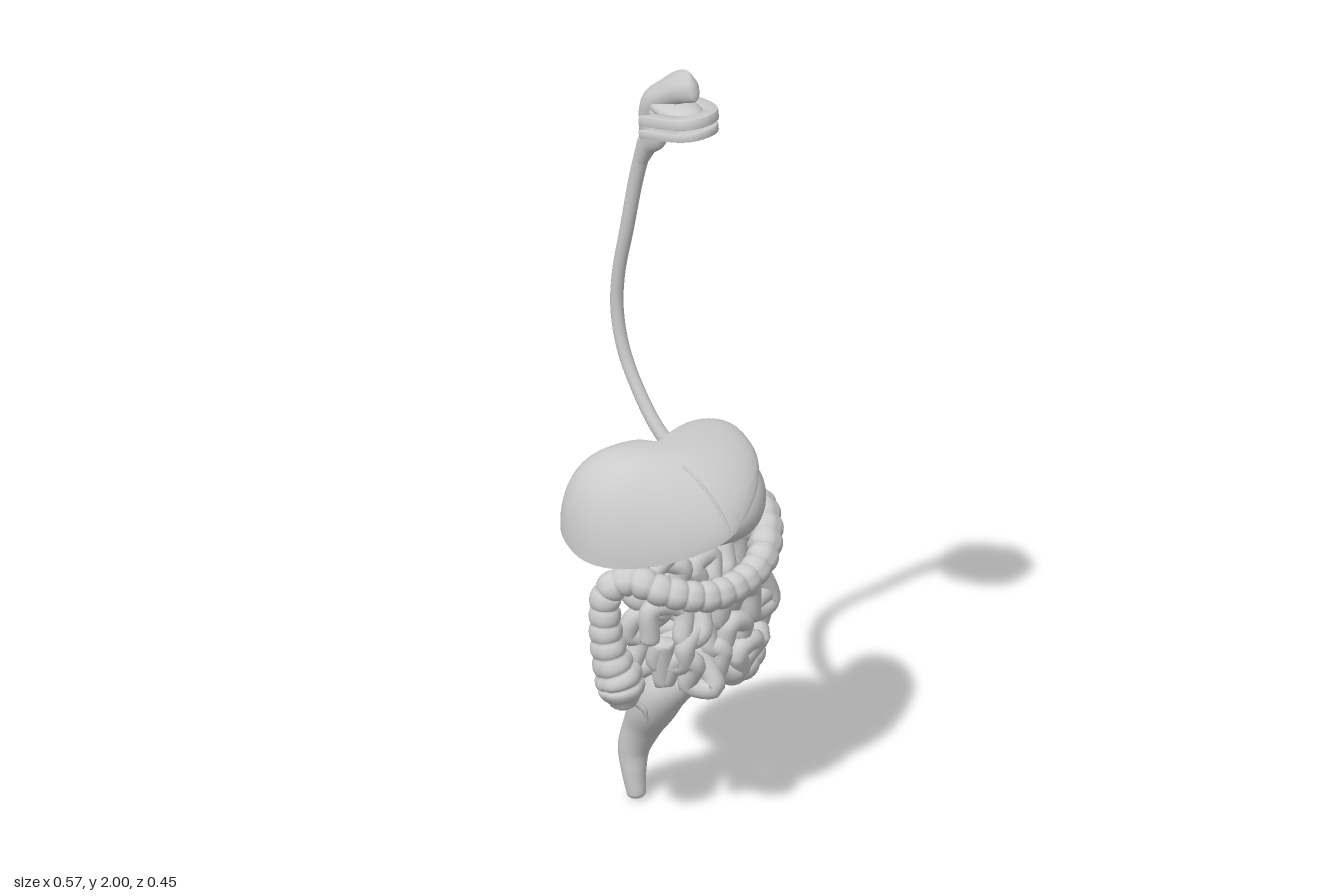
import * as THREE from 'three';
import { toCreasedNormals } from 'three/addons/utils/BufferGeometryUtils.js';

const V = (x, y, z) => new THREE.Vector3(x, y, z);
const material = new THREE.MeshStandardMaterial({ color: 0xcccccc, roughness: 0.7, side: THREE.DoubleSide });

// Joins closed rings of points into one skin
function loft(rows) {
  const n = rows[0].length, pos = [], index = [];
  rows.forEach(row => row.forEach(p => pos.push(p.x, p.y, p.z)));
  for (let i = 0; i < rows.length - 1; i++) {
    for (let j = 0; j < n; j++) {
      const a = i * n + j, b = i * n + (j + 1) % n;
      index.push(a, b, a + n, b, b + n, a + n);
    }
  }
  const geo = new THREE.BufferGeometry();
  geo.setAttribute('position', new THREE.Float32BufferAttribute(pos, 3));
  geo.setIndex(index);
  geo.computeVertexNormals();
  return geo;
}

// Round-ended tube through [x, y, z, radius, depth ratio] stations; mod(length, angle) shapes the wall
function organ(stations, steps, sides, mod = () => 1) {
  const curve = new THREE.CatmullRomCurve3(stations.map(s => V(s[0], s[1], s[2])));
  const size = new THREE.CatmullRomCurve3(stations.map(s => V(s[3], s[4] ?? 1, 0)), false, 'catmullrom');
  curve.arcLengthDivisions = steps * 2;
  const frames = curve.computeFrenetFrames(steps);
  const total = curve.getLength(), rows = [];
  const ring = (i, scale, push) => {
    const t = curve.getUtoTmapping(i / steps), c = curve.getPoint(t), s = size.getPoint(t);
    c.addScaledVector(frames.tangents[i], push * s.x);
    const row = [];
    for (let j = 0; j < sides; j++) {
      const a = j / sides * Math.PI * 2, r = s.x * scale * mod(i / steps * total, a);
      row.push(c.clone().addScaledVector(frames.normals[i], r * Math.cos(a))
        .addScaledVector(frames.binormals[i], r * s.y * Math.sin(a)));
    }
    rows.push(row);
  };
  const cap = [0, 0.25, 0.5, 0.75].map(k => k * Math.PI / 2);
  cap.forEach(a => ring(0, Math.sin(a), -0.6 * Math.cos(a)));
  for (let i = 0; i <= steps; i++) ring(i, 1, 0);
  cap.reverse().forEach(a => ring(steps, Math.sin(a), 0.6 * Math.cos(a)));
  return loft(rows);
}

// Liver: a dome over a curved rim, sloping gently to the front and hollowed underneath
const liverRim = new THREE.CatmullRomCurve3([
  [0.185, 0.97, -0.01], [0.16, 0.945, 0.1], [0.1, 0.912, 0.172], [0.03, 0.872, 0.213], [-0.04, 0.83, 0.225],
  [-0.13, 0.793, 0.183], [-0.22, 0.765, 0.1], [-0.272, 0.758, 0.02], [-0.28, 0.765, -0.06], [-0.255, 0.80, -0.14],
  [-0.2, 0.855, -0.165], [-0.12, 0.915, -0.142], [-0.06, 0.955, -0.1], [-0.02, 0.978, -0.03], [0.04, 0.98, -0.04],
  [0.11, 0.975, -0.07], [0.16, 0.975, -0.055],
].map(p => V(...p)), true);

function liverPoint(u, s, under) {
  const rim = liverRim.getPoint(u), top = under ? 0.945 : 1.008;
  const e = 2.5 - 0.7 * Math.max(0, rim.z / 0.22);
  const rise = under ? 1 - s * s : Math.pow(Math.max(0, 1 - s ** e), 1 / (e - 0.3));
  return V(-0.09 + (rim.x + 0.09) * s, rim.y + (top - rim.y) * rise, rim.z * s);
}

function liverGeometry() {
  const rows = [], n = 18, around = 72;
  for (let i = 0; i <= 2 * n; i++) {
    const k = i <= n ? i / n : 2 - i / n, s = Math.sin(k * Math.PI / 2);
    rows.push(Array.from({ length: around }, (_, j) => liverPoint(j / around, s, i > n)));
  }
  return toCreasedNormals(loft(rows), 1);
}

// Small bowel: two layers of meandering folds, bowed back at the sides
function smallBowelStations() {
  let seed = 11;
  const jitter = a => {
    seed = (seed * 16807) % 2147483647;
    return (seed / 2147483647 - 0.5) * 2 * a;
  };
  const out = [];
  for (let layer = 0; layer < 2; layer++) {
    for (let row = 0; row < 3; row++) {
      const level = layer ? 2 - row : row, side = (row + layer) % 2 ? -1 : 1;
      const y = layer ? 0.665 - level * 0.09 : 0.6 - level * 0.07;
      const half = (layer ? 0.18 : 0.165) - level * 0.012;
      for (let c = 0; c < 14; c++) {
        const x = side * half * (Math.floor(c / 2) / 3 - 1);
        const tall = Math.floor((c + 1) / 2) % 2 ? 1 : -1;
        out.push([x + jitter(0.018), y + tall * 0.034 + jitter(0.016),
          (layer ? 0.06 : 0.155) - x * x * 1.8 + jitter(0.026), 0.025]);
      }
    }
  }
  return out;
}

// Horseshoe jaw plate lying flat, open to the back
function jawGeometry(depth) {
  const s = new THREE.Shape();
  s.moveTo(-0.086, -0.035);
  s.bezierCurveTo(-0.075, 0.04, -0.07, 0.11, 0, 0.11);
  s.bezierCurveTo(0.07, 0.11, 0.075, 0.04, 0.086, -0.035);
  s.lineTo(0.05, 0);
  s.bezierCurveTo(0.045, 0.04, 0.04, 0.078, 0, 0.078);
  s.bezierCurveTo(-0.04, 0.078, -0.045, 0.04, -0.05, 0);
  s.closePath();
  const geo = new THREE.ExtrudeGeometry(s, { depth, bevelEnabled: true, bevelSize: 0.003, bevelThickness: 0.003, bevelSegments: 2, curveSegments: 20 });
  return toCreasedNormals(geo.rotateX(Math.PI / 2), 0.7);
}

export function createModel() {
  const model = new THREE.Group();
  const add = (name, geo, x = 0, y = 0, z = 0) => {
    const mesh = new THREE.Mesh(geo, material);
    mesh.name = name;
    mesh.position.set(x, y, z);
    model.add(mesh);
    return mesh;
  };

  // Mouth
  add('upperJaw', jawGeometry(0.02), -0.007, 1.88, 0).rotation.x = -0.16;
  add('lowerJaw', jawGeometry(0.014), -0.007, 1.842, 0).rotation.x = -0.16;
  const ball = new THREE.SphereGeometry(1, 28, 16);
  add('tongue', ball, -0.007, 1.848, 0.015).scale.set(0.045, 0.016, 0.075);
  add('palate', ball, -0.007, 1.88, 0).scale.set(0.05, 0.024, 0.08);
  add('backOfMouth', ball, -0.007, 1.858, -0.035).scale.set(0.042, 0.034, 0.045);

  // Nasal passage, peaked on top, running back and down into the throat
  const peaked = (len, a) => 1 - 0.5 * Math.max(0, 1 - len / 0.13) * Math.max(0, Math.sin(a)) * Math.abs(Math.cos(a));
  add('nasalPassage', organ([
    [-0.008, 1.960, 0.054, 0.02, 2.0], [-0.008, 1.946, 0.02, 0.03, 1.35], [-0.008, 1.915, -0.025, 0.036, 1.0],
    [-0.008, 1.875, -0.068, 0.038, 0.95], [-0.008, 1.83, -0.084, 0.034, 0.9], [-0.008, 1.785, -0.078, 0.029, 1.35],
    [-0.008, 1.745, -0.1, 0.023], [-0.008, 1.7, -0.124, 0.018],
  ], 60, 28, peaked));
  add('gullet', organ([
    [-0.008, 1.76, -0.105, 0.02], [-0.008, 1.65, -0.138, 0.018], [-0.008, 1.5, -0.172, 0.017], [-0.006, 1.37, -0.203, 0.016],
    [-0.002, 1.27, -0.212, 0.016], [0.003, 1.17, -0.195, 0.016], [0.01, 1.08, -0.155, 0.016],
    [0.02, 0.99, -0.095, 0.017], [0.04, 0.93, -0.04, 0.019], [0.07, 0.9, 0, 0.022],
  ], 90, 16));

  // Liver with the ridge between its lobes
  add('liver', liverGeometry());
  const ridge = Array.from({ length: 12 }, (_, i) => {
    const p = liverPoint(4 / 17, 0.4 + 0.053 * i, false);
    return [p.x, p.y, p.z, 0.0035];
  });
  add('liverRidge', organ(ridge, 40, 8));
  add('gallbladder', organ([[-0.15, 0.785, 0.1, 0.02], [-0.13, 0.8, 0.08, 0.022], [-0.1, 0.82, 0.05, 0.01]], 20, 16));

  // Stomach and duodenum
  add('stomach', organ([
    [0.085, 0.925, -0.015, 0.05], [0.092, 0.895, 0.015, 0.078], [0.094, 0.857, 0.068, 0.092], [0.062, 0.833, 0.11, 0.08],
    [0.01, 0.817, 0.122, 0.056], [-0.05, 0.807, 0.1, 0.038], [-0.095, 0.79, 0.06, 0.026],
  ], 60, 32));
  add('duodenum', organ([
    [-0.09, 0.793, 0.065, 0.024], [-0.13, 0.765, 0.04, 0.025], [-0.15, 0.71, 0.02, 0.025], [-0.12, 0.655, 0.005, 0.025],
    [-0.05, 0.645, 0, 0.025], [0.005, 0.68, 0.005, 0.024], [0, 0.72, 0.03, 0.022],
    [-0.06, 0.735, 0.05, 0.021], [-0.13, 0.71, 0.055, 0.021],
  ], 90, 16));
  add('smallBowel', organ(smallBowelStations(), 800, 12));

  // Large bowel with pouches and three lengthwise bands
  const pouches = (len, a) => (0.84 + 0.21 * Math.sqrt(Math.abs(Math.sin(len * Math.PI / 0.041))))
    * (1 - 0.07 * Math.max(0, Math.cos(3 * a)) ** 6);
  add('largeBowel', organ([
    [-0.215, 0.398, 0.04, 0.046], [-0.22, 0.44, 0.033, 0.058], [-0.238, 0.51, 0.018, 0.045], [-0.246, 0.6, 0.008, 0.038],
    [-0.24, 0.68, 0.012, 0.037], [-0.212, 0.715, 0.055, 0.037], [-0.155, 0.69, 0.127, 0.037], [-0.06, 0.663, 0.17, 0.037],
    [0.05, 0.668, 0.173, 0.037], [0.13, 0.695, 0.153, 0.038], [0.18, 0.737, 0.115, 0.04], [0.213, 0.772, 0.06, 0.04],
    [0.235, 0.745, 0.003, 0.041], [0.242, 0.66, -0.03, 0.039], [0.245, 0.56, -0.03, 0.037], [0.238, 0.47, -0.008, 0.037],
    [0.205, 0.4, 0.037, 0.037], [0.14, 0.37, 0.064, 0.036], [0.08, 0.375, 0.05, 0.034], [0.03, 0.378, 0.02, 0.032],
  ], 460, 30, pouches));
  add('appendix', organ([
    [-0.2, 0.39, 0.04, 0.009], [-0.178, 0.372, 0.05, 0.008], [-0.165, 0.355, 0.058, 0.007], [-0.155, 0.322, 0.055, 0.005],
  ], 24, 10));

  // Rectum
  add('rectum', organ([
    [0.06, 0.375, 0.045, 0.03], [0.02, 0.367, 0.015, 0.042], [-0.004, 0.325, -0.035, 0.054], [-0.004, 0.27, -0.08, 0.058],
    [0.002, 0.2, -0.125, 0.048], [-0.003, 0.13, -0.152, 0.039], [-0.008, 0.07, -0.147, 0.03], [-0.008, 0.015, -0.138, 0.023],
  ], 60, 28));
  return model;
}
